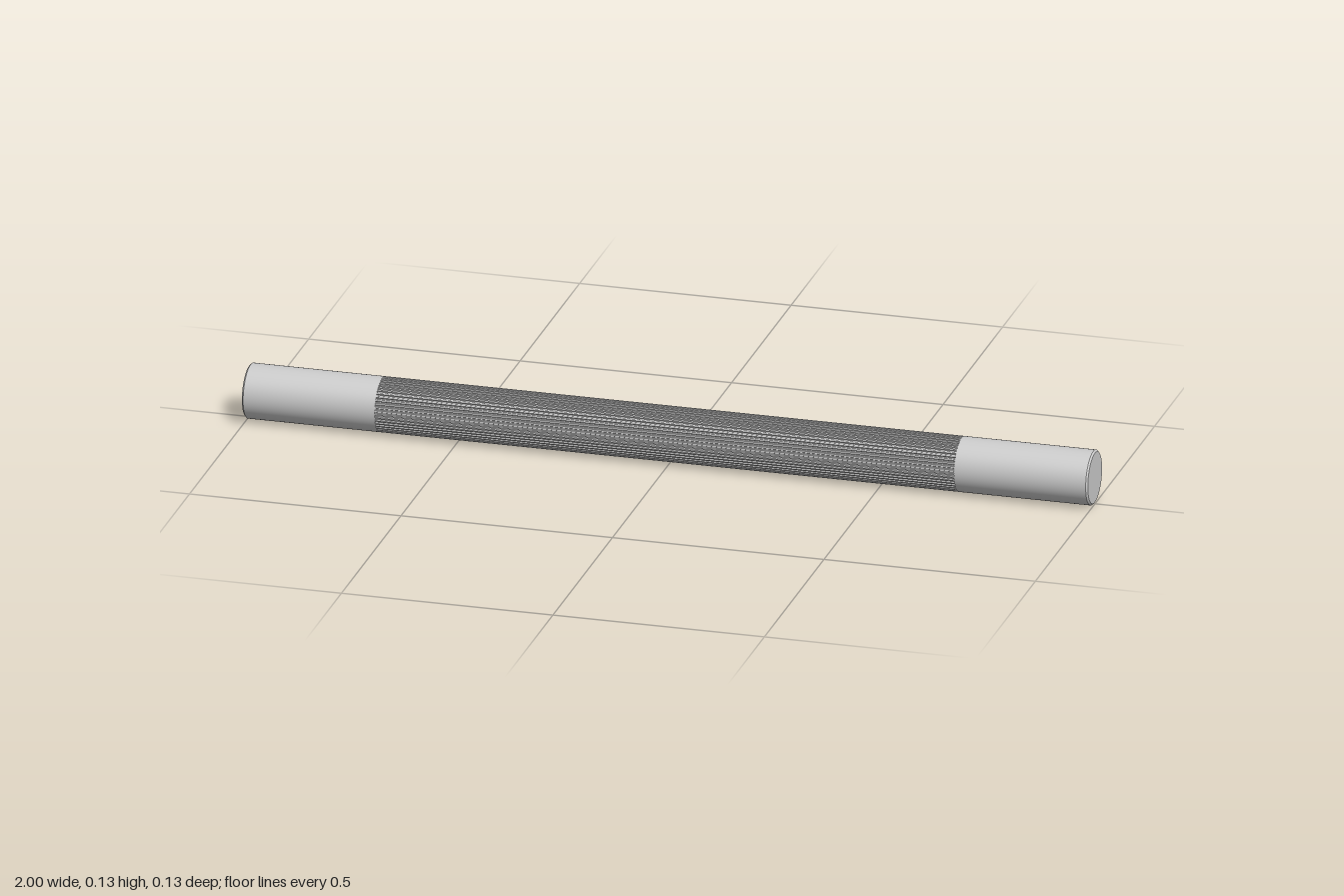
import * as THREE from 'three';

const R = 0.064;            // bar radius
const GRIP = 0.685;         // half length of the ribbed grip
const EDGE = 0.996;         // where the end chamfer starts
const HOLE_X = 0.78, HOLE_R = 0.027, HOLE_FLOOR = -0.005;
const material = new THREE.MeshStandardMaterial({ color: 0xcccccc });

function addMesh(parent, name, geometry) {
  const mesh = new THREE.Mesh(geometry, material);
  mesh.name = name;
  parent.add(mesh);
}

// Surface from a rule point(u, v), u and v in 0..1
function surface(nu, nv, point, round) {
  const positions = [], index = [];
  for (let i = 0; i <= nu; i++) {
    for (let j = 0; j <= nv; j++) {
      positions.push(...point(i / nu, j / nv));
      if (i < nu && j < nv) {
        const a = i * (nv + 1) + j, b = a + nv + 1;
        index.push(a, a + 1, b, b, a + 1, b + 1);
      }
    }
  }
  const g = new THREE.BufferGeometry();
  g.setAttribute('position', new THREE.Float32BufferAttribute(positions, 3));
  g.setIndex(index);
  g.computeVertexNormals();
  if (round) { // exact normals for skin lying on the bar
    const p = g.attributes.position;
    for (let i = 0; i < p.count; i++) g.attributes.normal.setXYZ(i, 0, p.getY(i) / R, p.getZ(i) / R);
  }
  return g;
}

// Point on the bar; the angle is measured from the underside
const onBar = (x, angle) => [x, -R * Math.cos(angle), R * Math.sin(angle)];

function createEnd() {
  const end = new THREE.Group();
  const lerp = THREE.MathUtils.lerp;

  // Sleeve without its lower quarter
  addMesh(end, 'sleeve', surface(72, 1,
    (u, v) => onBar(lerp(GRIP, EDGE, v), Math.PI * (0.25 + 1.5 * u)), true));

  // Lower quarter, spreading from the round hole to a rectangle
  const midX = (GRIP + EDGE) / 2, halfX = (EDGE - GRIP) / 2;
  addMesh(end, 'sleeveUnderside', surface(64, 10, (u, v) => {
    const c = Math.cos(u * 2 * Math.PI), s = Math.sin(u * 2 * Math.PI);
    const m = Math.max(Math.abs(c), Math.abs(s));
    const x = lerp(HOLE_X + HOLE_R * c, midX + halfX * c / m, v);
    const angle = lerp(Math.asin(HOLE_R * s / R), Math.PI / 4 * s / m, v);
    return onBar(x, angle);
  }, true));

  // Mounting hole
  addMesh(end, 'holeWall', surface(64, 1, (u, v) => {
    const a = u * 2 * Math.PI, z = HOLE_R * Math.sin(a);
    return [HOLE_X + HOLE_R * Math.cos(a), lerp(HOLE_FLOOR, -Math.sqrt(R * R - z * z), v), z];
  }));
  addMesh(end, 'holeFloor', new THREE.CircleGeometry(HOLE_R, 64)
    .rotateX(Math.PI / 2).translate(HOLE_X, HOLE_FLOOR, 0));

  // Chamfered end and the shoulder against the grip
  addMesh(end, 'endChamfer', new THREE.CylinderGeometry(R - 0.004, R, 1 - EDGE, 96, 1, true)
    .rotateZ(-Math.PI / 2).translate((1 + EDGE) / 2, 0, 0));
  addMesh(end, 'endFace', new THREE.CircleGeometry(R - 0.004, 96)
    .rotateY(Math.PI / 2).translate(1, 0, 0));
  addMesh(end, 'shoulder', new THREE.RingGeometry(R - 0.006, R, 96)
    .rotateY(-Math.PI / 2).translate(GRIP, 0, 0));
  return end;
}

// Grip with straight ribs running along the bar
function createGrip() {
  const ribs = 48, points = [];
  for (let i = 0; i < ribs; i++) {
    [[0, R], [0.4, R], [0.55, R - 0.003], [0.85, R - 0.003]].forEach(([step, r]) => {
      const a = (i + step) / ribs * 2 * Math.PI;
      points.push(new THREE.Vector2(r * Math.cos(a), r * Math.sin(a)));
    });
  }
  return new THREE.ExtrudeGeometry(new THREE.Shape(points), { depth: 2 * GRIP, bevelEnabled: false })
    .translate(0, 0, -GRIP).rotateY(Math.PI / 2);
}

export function createModel() {
  const model = new THREE.Group();
  model.name = 'handleBar';
  addMesh(model, 'ribbedGrip', createGrip());
  ['leftEnd', 'rightEnd'].forEach((name, i) => {
    const end = createEnd();
    end.name = name;
    end.rotation.y = i * Math.PI;
    model.add(end);
  });
  model.children.forEach((part) => { part.position.y = R; });
  return model;
}
